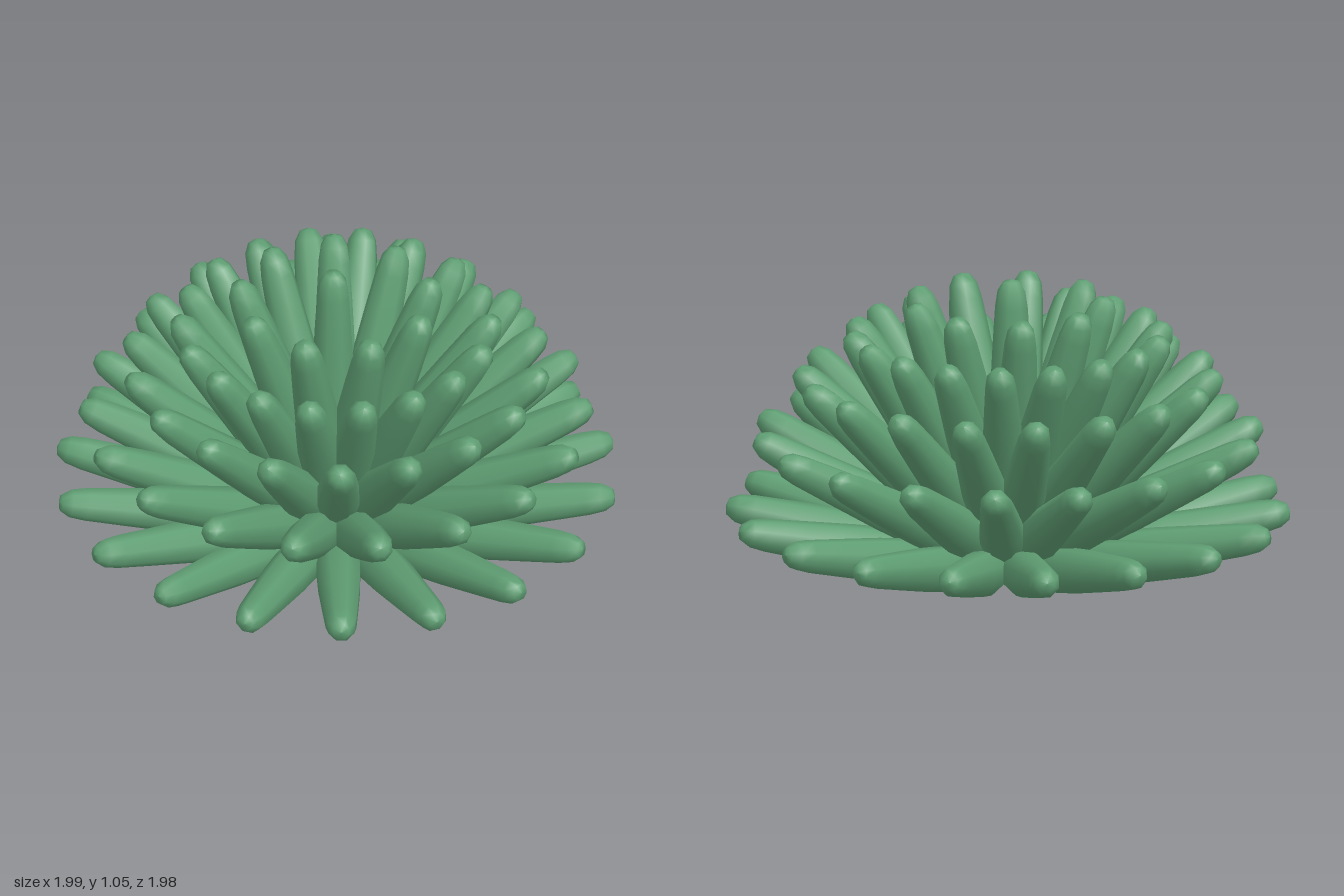
import * as THREE from 'three';

const BASE = 0.31; // leaves start on a dome of this radius

// Plump eight-sided leaf along +y, starting on the dome: short rounded base, slow taper, blunt tip
function leafGeometry(reach) {
  const profile = [
    [0, BASE], [0.05, BASE + 0.01], [0.076, 0.36], [0.084, 0.42], [0.08, 0.58],
    [0.068, reach - 0.24], [0.059, reach - 0.1], [0.05, reach - 0.042], [0.03, reach - 0.008], [0, reach],
  ].map(([r, y]) => new THREE.Vector2(r, y));
  return new THREE.LatheGeometry(profile, 8).rotateY(Math.PI / 8);
}

export function createModel() {
  const group = new THREE.Group();
  group.name = 'succulentRosette';
  const leafGreen = new THREE.MeshStandardMaterial({ color: 0x5f9e73 });
  leafGreen.name = 'leafGreen';

  // Each ring: leaf count, angle of the first leaf, elevation of the leaves, tip distance
  const rings = [
    { name: 'outerLeaf', count: 18, start: -2, elevation: 12, reach: 1.02 },
    { name: 'lowerLeaf', count: 18, start: 9, elevation: 28.8, reach: 1.03 },
    { name: 'middleLeaf', count: 18, start: -2, elevation: 43.7, reach: 1.035 },
    { name: 'upperLeaf', count: 18, start: 9, elevation: 57, reach: 1.04 },
    { name: 'innerLeaf', count: 9, start: -2, elevation: 70.5, reach: 1.05 },
  ];

  for (const { name, count, start, elevation, reach } of rings) {
    const ring = new THREE.Group();
    ring.name = name + 'Ring';
    const geometry = leafGeometry(reach);
    for (let i = 0; i < count; i++) {
      // Lean the leaf out towards +x, then swing it around the centre
      const leaf = new THREE.Mesh(geometry, leafGreen);
      leaf.name = name;
      leaf.rotation.order = 'YXZ';
      leaf.rotation.z = THREE.MathUtils.degToRad(elevation - 90);
      leaf.rotation.y = -THREE.MathUtils.degToRad(start + (i * 360) / count);
      ring.add(leaf);
    }
    group.add(ring);
  }

  // Upright leaf in the middle
  const centre = new THREE.Mesh(leafGeometry(1.057), leafGreen);
  centre.name = 'centreLeaf';
  centre.position.set(0.008, 0, -0.02);
  group.add(centre);

  return group;
}
